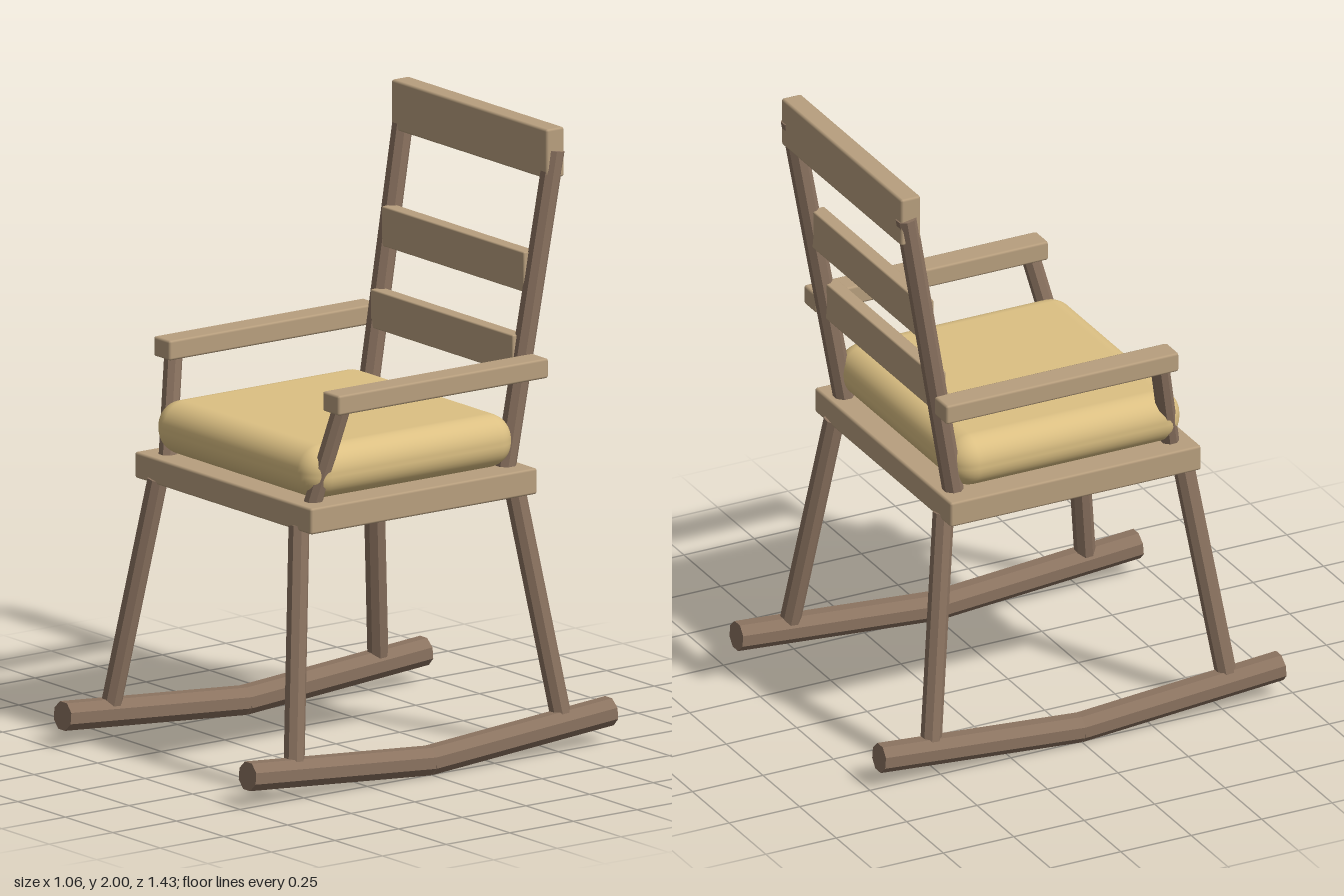
import * as THREE from 'three';
import { RoundedBoxGeometry } from 'three/addons/geometries/RoundedBoxGeometry.js';

export function createModel() {
  const model = new THREE.Group();
  model.name = 'rockingChair';

  const plank = new THREE.MeshStandardMaterial({ color: 0xb89f7e });
  plank.name = 'light wood';
  const pole = new THREE.MeshStandardMaterial({ color: 0x8b7360 });
  pole.name = 'dark wood';
  const fabric = new THREE.MeshStandardMaterial({ color: 0xdcc083 });
  fabric.name = 'cushion fabric';

  const add = (name, geometry, material) => {
    const mesh = new THREE.Mesh(geometry, material);
    mesh.name = name;
    model.add(mesh);
    return mesh;
  };

  // Box given by its lower and upper corners, with a small bevel
  const box = (name, a, b, material = plank, segments = 1, radius = 0.008) => {
    const size = b.map((v, i) => v - a[i]);
    const mesh = add(name, new RoundedBoxGeometry(...size, segments, radius), material);
    mesh.position.set(...b.map((v, i) => (v + a[i]) / 2));
    return mesh;
  };

  // Eight-sided rod between two points
  const rod = (name, a, b, radius) => {
    const from = new THREE.Vector3(...a), to = new THREE.Vector3(...b);
    const dir = to.clone().sub(from);
    const geometry = new THREE.CylinderGeometry(radius, radius, dir.length(), 8).toNonIndexed();
    geometry.rotateY(Math.PI / 8);
    geometry.computeVertexNormals();
    const mesh = add(name, geometry, pole);
    mesh.position.copy(from).add(to).multiplyScalar(0.5);
    mesh.quaternion.setFromUnitVectors(new THREE.Vector3(0, 1, 0), dir.normalize());
  };

  // Seat and cushion
  box('seat', [-0.465, 0.84, -0.445], [0.465, 0.925, 0.445]);
  box('cushion', [-0.432, 0.925, -0.405], [0.432, 1.097, 0.415], fabric, 5, 0.08);

  // Backrest
  box('topRail', [-0.41, 1.838, -0.592], [0.41, 2, -0.522]);
  box('upperSlat', [-0.375, 1.475, -0.507], [0.375, 1.605, -0.458], plank, 1, 0.005);
  box('lowerSlat', [-0.375, 1.217, -0.462], [0.375, 1.342, -0.414], plank, 1, 0.005);

  for (const s of [1, -1]) {
    const side = s > 0 ? 'left' : 'right';
    rod(side + 'BackPost', [s * 0.372, 0.9, -0.385], [s * 0.392, 1.925, -0.565], 0.034);

    // Armrest and its support
    const [x0, x1] = s > 0 ? [0.402, 0.488] : [-0.488, -0.402];
    box(side + 'Armrest', [x0, 1.217, -0.472], [x1, 1.282, 0.354]);
    rod(side + 'ArmSupport', [s * 0.38, 0.91, 0.378], [s * 0.443, 1.23, 0.308], 0.03);

    // Legs and the two-piece rocker
    for (const f of [1, -1]) {
      const end = f > 0 ? 'Front' : 'Back';
      rod(side + end + 'Leg', [s * 0.485, 0.09, f * 0.527], [s * 0.372, 0.85, f * 0.423], 0.034);
      rod(side + end + 'Rocker', [s * 0.487, 0.047, 0], [s * 0.487, 0.102, f * 0.711], 0.048);
    }
  }
  return model;
}
